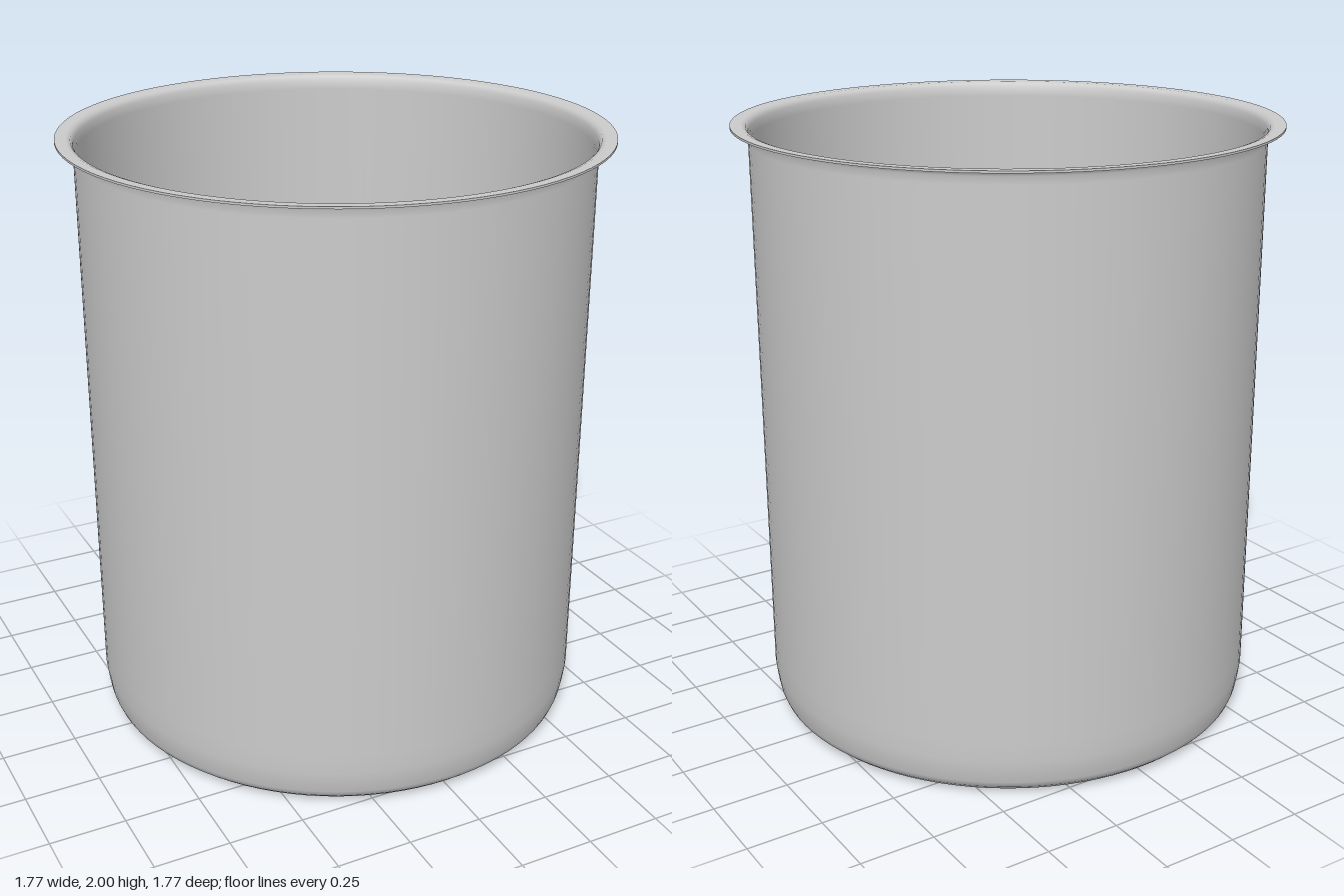
import * as THREE from 'three';

const SEGMENTS = 96;

// Revolves a list of [radius, height] pairs into a smooth surface
function revolve(name, profile, material) {
  const points = profile.map(([r, y]) => new THREE.Vector2(r, y));
  const mesh = new THREE.Mesh(new THREE.LatheGeometry(points, SEGMENTS), material);
  mesh.name = name;
  return mesh;
}

export function createModel() {
  const group = new THREE.Group();
  group.name = 'cylindricalPot';
  const metal = new THREE.MeshStandardMaterial({ color: 0xcccccc, side: THREE.DoubleSide });

  // Outside: flat base, rounded lower corner, straight wall, flare under the lip
  group.add(revolve('outerShell', [
    [0, 0], [0.7, 0], [0.76, 0.003], [0.79, 0.012], [0.81, 0.03], [0.818, 0.05],
    [0.825, 0.09], [0.83, 0.13], [0.83, 0.2], [0.83, 1.95], [0.832, 1.975],
    [0.838, 1.987], [0.85, 1.992], [0.885, 1.993],
  ], metal));

  // Thin outer edge of the lip
  group.add(revolve('lipEdge', [[0.885, 1.993], [0.885, 2]], metal));

  // Inside: lip top, rounded mouth, straight wall, rounded corner, floor
  group.add(revolve('innerShell', [
    [0.885, 2], [0.85, 1.999], [0.836, 1.994], [0.828, 1.98], [0.824, 1.95],
    [0.824, 0.2], [0.823, 0.13], [0.818, 0.09], [0.81, 0.055], [0.803, 0.037],
    [0.785, 0.02], [0.758, 0.011], [0.7, 0.008], [0, 0.008],
  ], metal));

  return group;
}
